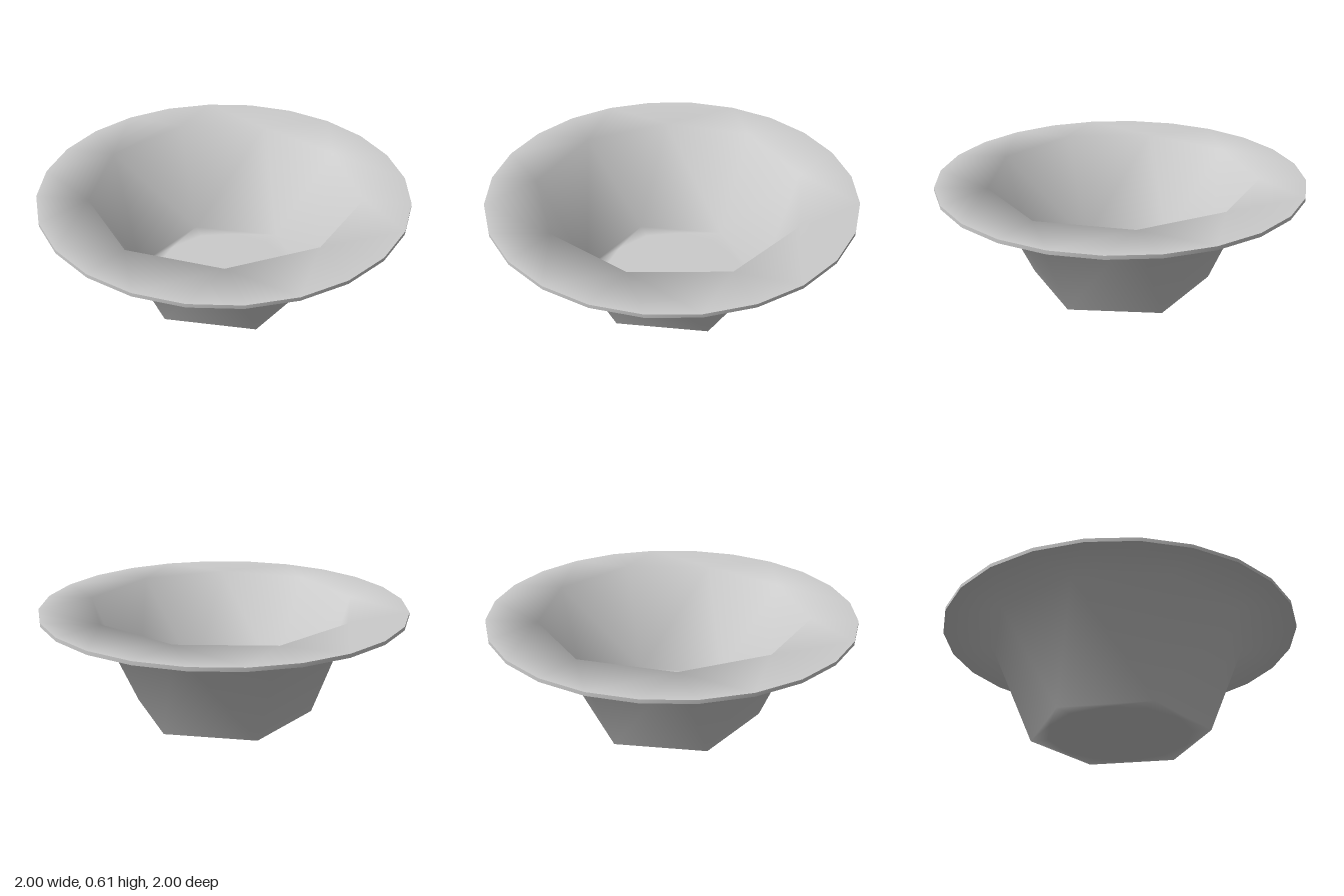
import * as THREE from 'three';

// Corners of a level ring, counted round from the front; radius may vary with the angle
function ring(count, radius, y) {
  return Array.from({ length: count }, (_, i) => {
    const a = (i / count) * Math.PI * 2;
    const r = typeof radius === 'function' ? radius(a) : radius;
    return [r * Math.sin(a), y, r * Math.cos(a)];
  });
}

// Distance to the edge of a twelve-sided polygon at a given angle
function twelveSided(r) {
  const step = Math.PI / 6;
  return (a) => {
    const off = ((a + 1e-6) % step) - 1e-6 - step / 2;
    return (r * Math.cos(step / 2)) / Math.cos(off);
  };
}

// Skin stitched through rings of differing corner counts, with an optional floor
function skin(rings, flip, floor) {
  const pos = rings.flat(2);
  const index = [];
  const tri = (a, b, c) => index.push(...(flip ? [a, c, b] : [a, b, c]));
  let start = 0;
  for (let k = 0; k + 1 < rings.length; k++) {
    const n = rings[k].length, m = rings[k + 1].length, next = start + n;
    let i = 0, j = 0;
    while (i < n || j < m) {
      const p = start + (i % n), q = next + (j % m);
      if (i >= n || (j < m && (j + 0.5) / m <= (i + 0.5) / n)) {
        j++;
        tri(p, q, next + (j % m));
      } else {
        i++;
        tri(p, q, start + (i % n));
      }
    }
    start = next;
  }
  if (floor) {
    const n = rings[0].length, centre = pos.length / 3;
    pos.push(0, rings[0][0][1], 0);
    for (let i = 0; i < n; i++) tri(centre, i, (i + 1) % n);
  }
  const geo = new THREE.BufferGeometry();
  geo.setAttribute('position', new THREE.Float32BufferAttribute(pos, 3));
  geo.setIndex(index);
  geo.computeVertexNormals();
  return geo;
}

// Floor, wall and brim of the bowl, from the middle outwards
function profile(y) {
  return [
    ring(12, 0.4, y),
    ring(6, 0.5, y),
    ring(9, twelveSided(0.75), y + 0.585),
    ring(24, 1, y + 0.585),
  ];
}

export function createModel() {
  const group = new THREE.Group();
  group.name = 'bowl';
  const material = new THREE.MeshStandardMaterial({ color: 0xcccccc });
  const add = (name, geo) => {
    const mesh = new THREE.Mesh(geo, material);
    mesh.name = name;
    group.add(mesh);
  };

  // Two matching skins, one sheet thickness apart
  const inner = profile(0.02);
  const outer = profile(0);
  add('innerSurface', skin(inner, false, true));
  add('outerSurface', skin(outer, true, true));

  // Thin edge of the brim
  add('brimEdge', skin([outer[3], inner[3]], true, false));

  return group;
}
